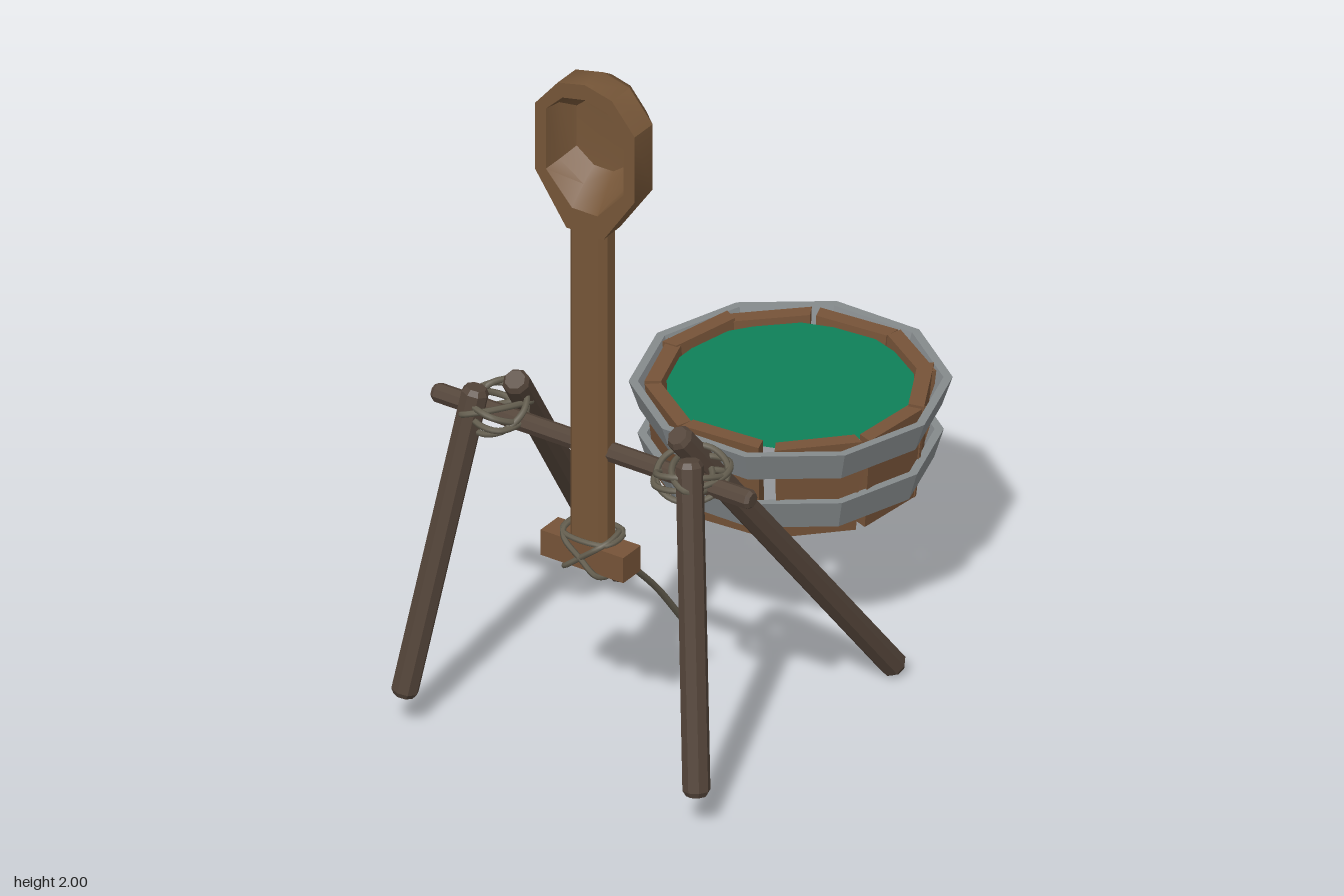
import * as THREE from 'three';
import { toCreasedNormals } from 'three/addons/utils/BufferGeometryUtils.js';

const mat = (color, extra = {}) => new THREE.MeshStandardMaterial({ color, ...extra });
const V = (x, y, z) => new THREE.Vector3(x, y, z);

export function createModel() {
  const root = new THREE.Group();
  const logWood = mat(0x54453a, { flatShading: true });
  const spoonWood = mat(0x765638);
  const plankWood = mat(0x765338, { flatShading: true });
  const iron = mat(0x858a8c, { flatShading: true });
  const ropeMat = mat(0x655f50);
  const green = mat(0x0f8058, { side: THREE.DoubleSide });

  const add = (parent, name, geo, material) => {
    const m = new THREE.Mesh(geo, material);
    m.name = name;
    parent.add(m);
    return m;
  };

  // Eight-sided log with chamfered ends, running from a to b
  const log = (parent, name, a, b, r) => {
    const L = a.distanceTo(b), c = r * 0.4;
    const profile = [[0, 0], [r * 0.75, 0], [r, c], [r, L - c], [r * 0.75, L], [0, L]];
    const m = add(parent, name, new THREE.LatheGeometry(profile.map(p => new THREE.Vector2(...p)), 8), logWood);
    m.position.copy(a);
    m.quaternion.setFromUnitVectors(V(0, 1, 0), b.clone().sub(a).normalize());
    return m;
  };

  const rope = (parent, name, pts, r = 0.009, closed = false) => add(parent, name,
    new THREE.TubeGeometry(new THREE.CatmullRomCurve3(pts, closed, 'centripetal'), pts.length * 5, r, 6, closed), ropeMat);

  // Frame: two leg pairs and a crossbar
  const frame = new THREE.Group();
  frame.name = 'frame';
  root.add(frame);
  log(frame, 'crossbar', V(-0.5, 0.9, 0.535), V(0.5, 0.9, 0.535), 0.027);
  for (const s of [-1, 1]) {
    log(frame, 'frontLeg', V(s * 0.46, 0.1, 0.735), V(s * 0.335, 0.99, 0.585), 0.037);
    log(frame, 'rearLeg', V(s * 0.43, 0.02, -0.22), V(s * 0.255, 1.01, 0.525), 0.037);

    // Lashing: tilted loops of rope around the joint [dx, dz, tilt x, tilt z, spin]
    const lashing = new THREE.Group();
    lashing.name = 'lashing';
    lashing.position.set(s * 0.305, 0.915, 0.53);
    frame.add(lashing);
    for (const [rx, rz, tx, tz, spin] of [
      [0.075, 0.105, 0.15, 0.1, -0.6], [0.08, 0.1, -0.25, 0.2, -0.4],
      [0.085, 0.095, 0.25, -0.35, -0.8], [0.055, 0.11, -0.1, -0.4, 0.4],
    ]) {
      const pts = [];
      for (let i = 0; i < 8; i++) {
        const t = i * Math.PI / 4;
        const p = V(rx * Math.cos(t), 0, rz * Math.sin(t)).applyEuler(new THREE.Euler(tx, spin, tz));
        pts.push(V(p.x * s, p.y, p.z));
      }
      rope(lashing, 'lashingLoop', pts, 0.009, true);
    }
  }

  // Throwing arm: bowl lofted from half outlines, mirrored, recess floor to back
  const arm = new THREE.Group();
  arm.name = 'throwingArm';
  root.add(arm);
  const layers = [
    [0.485, [[0, 1.81], [0, 1.81], [0, 1.81], [0, 1.81], [0, 1.81]]],
    [0.49, [[0.03, 1.71], [0.085, 1.75], [0.085, 1.87], [0.05, 1.9], [0, 1.91]]],
    [0.53, [[0.035, 1.67], [0.112, 1.72], [0.112, 1.89], [0.063, 1.93], [0, 1.94]]],
    [0.577, [[0.04, 1.62], [0.122, 1.71], [0.122, 1.89], [0.07, 1.94], [0, 1.955]]],
    [0.577, [[0.058, 1.555], [0.157, 1.7], [0.157, 1.895], [0.085, 1.98], [0, 2]]],
    [0.495, [[0.055, 1.555], [0.157, 1.7], [0.157, 1.895], [0.085, 1.98], [0, 2]]],
    [0.455, [[0.045, 1.68], [0.11, 1.75], [0.11, 1.9], [0.06, 1.96], [0, 1.975]]],
    [0.43, [[0.03, 1.75], [0.075, 1.78], [0.075, 1.88], [0.04, 1.925], [0, 1.935]]],
    [0.43, [[0, 1.83], [0, 1.83], [0, 1.83], [0, 1.83], [0, 1.83]]],
  ];
  const pos = [], idx = [], n = 9;
  layers.forEach(([z, half], k) => {
    const ring = [...half, ...half.slice(0, 4).reverse().map(([x, y]) => [-x, y])];
    ring.forEach(([x, y], i) => {
      pos.push(x, y, z);
      if (k === layers.length - 1) return;
      const a = k * n + i, b = k * n + (i + 1) % n;
      idx.push(a, a + n, b, b, a + n, b + n);
    });
  });
  const bowl = new THREE.BufferGeometry();
  bowl.setAttribute('position', new THREE.Float32BufferAttribute(pos, 3));
  bowl.setIndex(idx);
  add(arm, 'bowl', toCreasedNormals(bowl, 0.65), spoonWood);

  // Handle: chamfered bar
  const w = 0.058, d = 0.035, c = 0.018;
  const section = new THREE.Shape([[w, -d + c], [w, d - c], [w - c, d], [c - w, d], [-w, d - c], [-w, c - d], [c - w, -d], [w - c, -d]]
    .map(p => new THREE.Vector2(...p)));
  const handle = add(arm, 'handle', new THREE.ExtrudeGeometry(section, { depth: 1.02, bevelEnabled: false }), spoonWood);
  handle.rotation.x = -Math.PI / 2;
  handle.position.set(0, 0.55, 0.541);
  add(arm, 'crossBlock', new THREE.BoxGeometry(0.26, 0.075, 0.08), plankWood).position.set(0, 0.595, 0.55);

  // Rope binding the block, with two strands joining into the trailing end
  const binding = new THREE.Group();
  binding.name = 'binding';
  root.add(binding);
  for (const s of [-1, 1]) {
    rope(binding, 'crossTie', [V(-s * 0.07, 0.65, 0.57), V(-s * 0.05, 0.635, 0.597), V(0, 0.595, 0.6),
      V(s * 0.05, 0.555, 0.597), V(s * 0.065, 0.545, 0.55), V(s * 0.05, 0.56, 0.5), V(0, 0.6, 0.495),
      V(-s * 0.06, 0.65, 0.505)], 0.008, true);
    rope(binding, 'pullStrand', [V(s * 0.055, 0.64, 0.505), V(s * 0.035, 0.575, 0.465), V(s * 0.015, 0.5, 0.4), V(0, 0.43, 0.335)], 0.008);
  }
  rope(binding, 'neckLoop', [V(0.07, 0.645, 0.58), V(-0.07, 0.645, 0.58), V(-0.07, 0.65, 0.5), V(0.07, 0.65, 0.5)], 0.008, true);
  rope(binding, 'pullRope', [V(0, 0.45, 0.355), V(0, 0.335, 0.245), V(0.003, 0.2, 0.14), V(0, 0.08, 0.042)], 0.009);

  // Tub: tapered staves, two iron hoops and a green filling
  const tub = new THREE.Group();
  tub.name = 'tub';
  tub.position.z = -0.365;
  root.add(tub);
  [95, 58, 28, -5, -44, -86, -124, -161, 168, 134].forEach((deg, i) => {
    const h = 0.272 + 0.008 * (i % 3) / 2;
    const geo = new THREE.BoxGeometry(0.232, h, 0.042);
    const p = geo.attributes.position;
    for (let j = 0; j < p.count; j++) {
      const t = p.getY(j) / h + 0.5;
      p.setX(j, p.getX(j) * (0.9 + 0.1 * t) * (p.getZ(j) < 0 ? 0.9 : 1));
      p.setZ(j, p.getZ(j) + 0.314 + 0.026 * t);
    }
    const stave = add(tub, 'stave', geo, plankWood);
    stave.position.y = 0.397 + h / 2;
    stave.rotation.y = THREE.MathUtils.degToRad(deg + 90);
  });
  const hoop = (name, y0, y1, r0, r1) => {
    const t = 0.024;
    const profile = [[r0 - t, y0], [r0, y0], [r1, y1], [r1 - t, y1], [r0 - t, y0]];
    add(tub, name, new THREE.LatheGeometry(profile.map(q => new THREE.Vector2(...q)), 10, Math.PI / 2), iron);
  };
  hoop('upperHoop', 0.587, 0.67, 0.392, 0.42);
  hoop('lowerHoop', 0.432, 0.515, 0.372, 0.397);
  const filling = add(tub, 'filling', new THREE.CircleGeometry(0.337, 10, Math.PI / 10), green);
  filling.rotation.x = -Math.PI / 2;
  filling.position.y = 0.65;

  return root;
}
